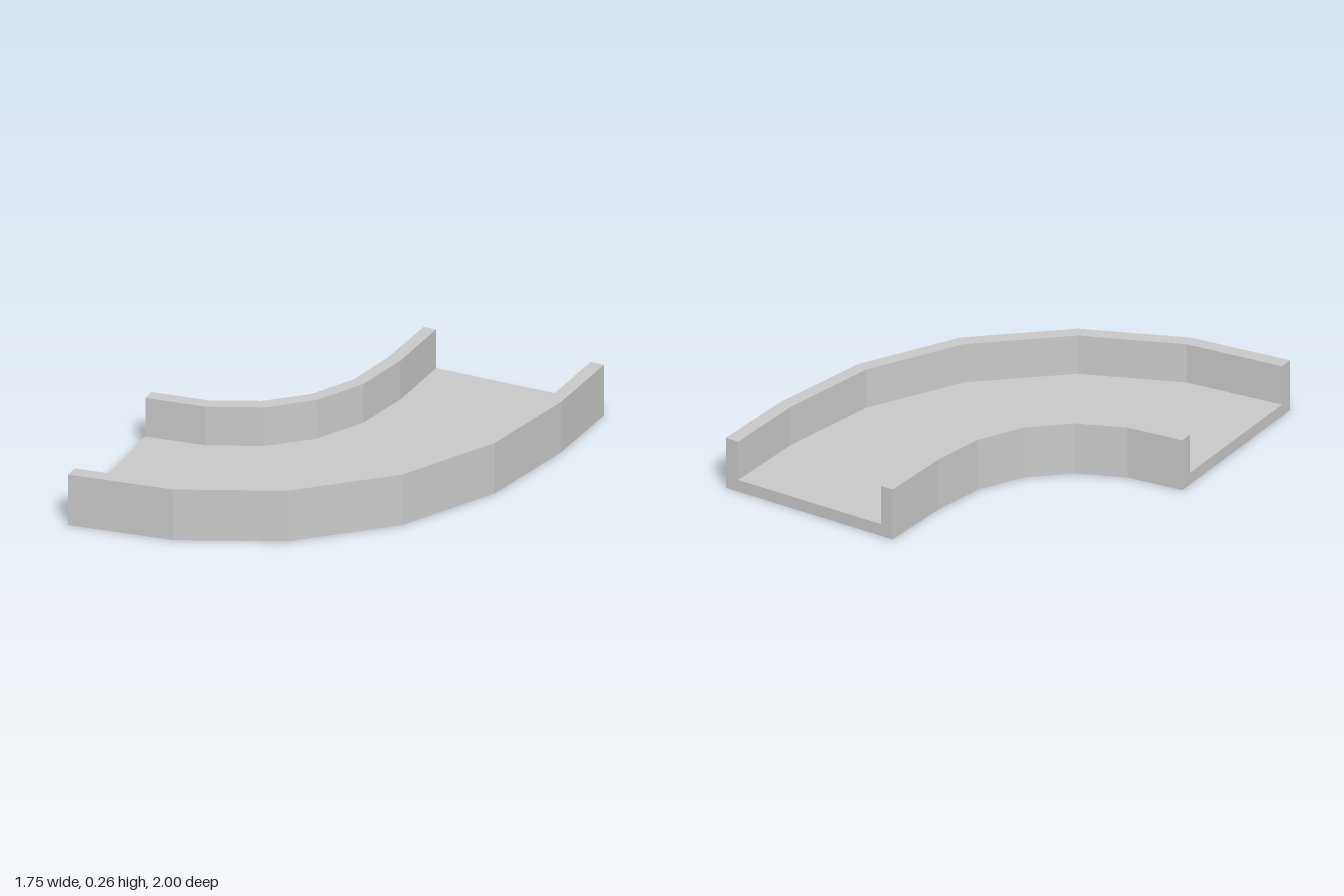
import * as THREE from 'three';

const FLOOR = 0.06;
const HEIGHT = 0.257;

// Stations along the bend: [x, z] of the inner wall's two faces, then the outer wall's two faces
const STATIONS = [
  [[-0.873, 0.1], [-0.873, 0.165], [-0.873, 0.932], [-0.873, 1.0]],
  [[-0.6, 0.067], [-0.59, 0.13], [-0.4, 0.873], [-0.38, 0.936]],
  [[-0.38, -0.03], [-0.345, 0.025], [0.06, 0.675], [0.095, 0.73]],
  [[-0.207, -0.185], [-0.16, -0.14], [0.447, 0.33], [0.497, 0.37]],
  [[-0.095, -0.395], [-0.035, -0.375], [0.69, -0.113], [0.748, -0.09]],
  [[-0.045, -0.655], [0.02, -0.65], [0.785, -0.595], [0.85, -0.585]],
  [[-0.025, -1], [0.037, -1], [0.806, -1], [0.873, -1]],
];

// U-shaped cross-section as [face index, height], round the outline
const SECTION = [
  [0, 0], [3, 0], [3, HEIGHT], [2, HEIGHT],
  [2, FLOOR], [1, FLOOR], [1, HEIGHT], [0, HEIGHT],
];

// End cap split into floor slab, outer wall and inner wall
const CAP = [[0, 1, 4, 5], [1, 2, 3, 4], [0, 5, 6, 7]];

function channelGeometry() {
  const rings = STATIONS.map((s) => SECTION.map(([f, y]) => [s[f][0], y, s[f][1]]));
  const positions = [];
  const quad = (a, b, c, d) => positions.push(...a, ...b, ...c, ...a, ...c, ...d);

  // Skin between neighbouring stations
  for (let i = 0; i < rings.length - 1; i++) {
    const r = rings[i], next = rings[i + 1];
    for (let j = 0; j < r.length; j++) {
      const k = (j + 1) % r.length;
      quad(r[j], next[j], next[k], r[k]);
    }
  }

  // Closed ends
  const first = rings[0], last = rings[rings.length - 1];
  for (const [a, b, c, d] of CAP) {
    quad(first[a], first[b], first[c], first[d]);
    quad(last[d], last[c], last[b], last[a]);
  }

  const geometry = new THREE.BufferGeometry();
  geometry.setAttribute('position', new THREE.Float32BufferAttribute(positions, 3));
  geometry.computeVertexNormals();
  return geometry;
}

export function createModel() {
  const group = new THREE.Group();
  group.name = 'curvedTrack';

  // Curved floor with a raised wall along each side
  const material = new THREE.MeshStandardMaterial({ color: 0xcccccc, flatShading: true });
  const channel = new THREE.Mesh(channelGeometry(), material);
  channel.name = 'walledChannel';
  group.add(channel);

  return group;
}
